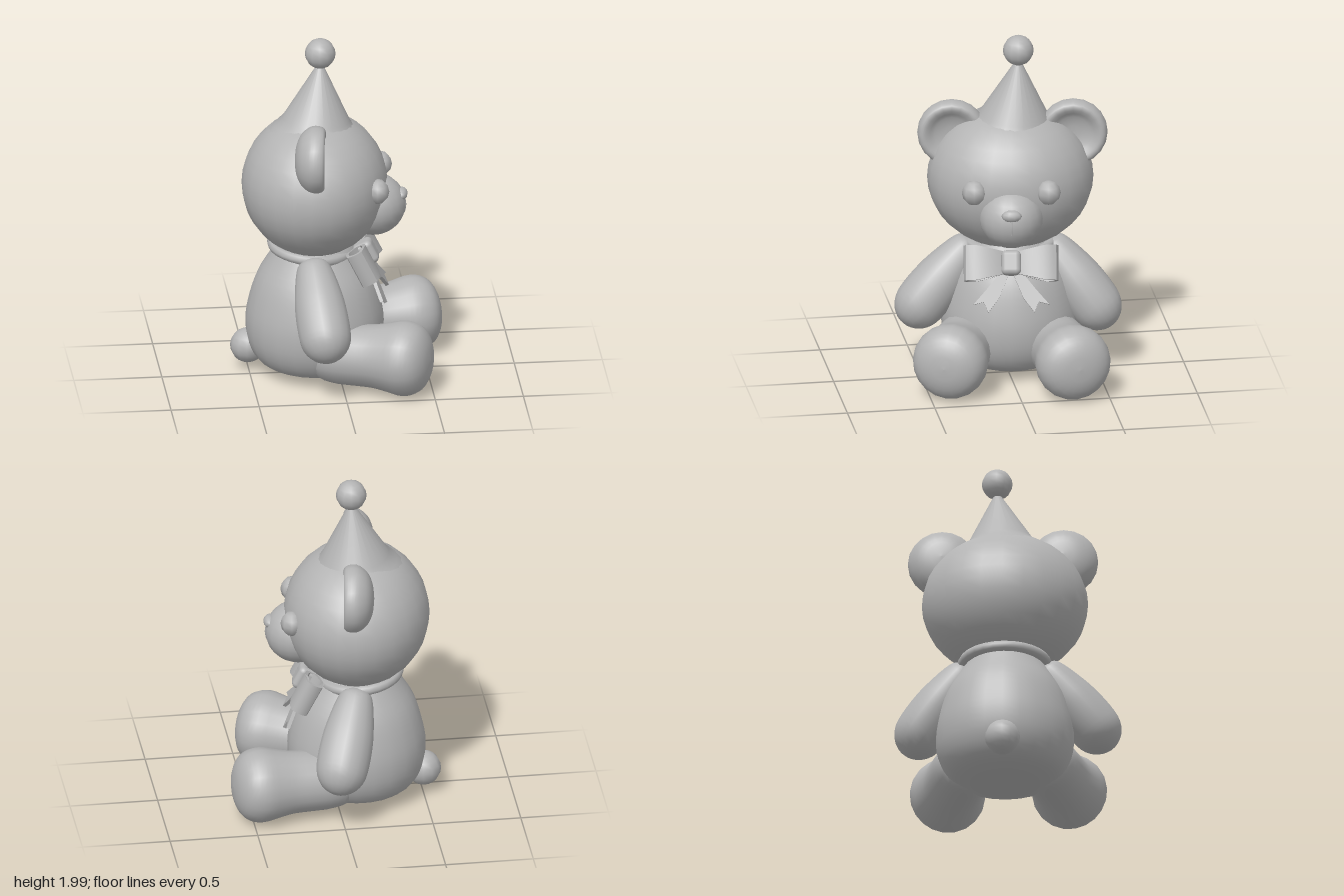
import * as THREE from 'three';
import { toCreasedNormals } from 'three/addons/utils/BufferGeometryUtils.js';
import { RoundedBoxGeometry } from 'three/addons/geometries/RoundedBoxGeometry.js';

const V = (x, y, z) => new THREE.Vector3(x, y, z);

// Lathe through a smooth curve of [radius, height] points
function roundLathe(pts, segments = 20, steps = 26) {
  const curve = new THREE.SplineCurve(pts.map(([r, y]) => new THREE.Vector2(r, y)));
  const profile = curve.getPoints(steps);
  for (const v of profile) v.x = Math.max(0, v.x);
  return new THREE.LatheGeometry(profile, segments);
}

export function createModel() {
  const plush = new THREE.MeshStandardMaterial({ color: 0xb4b4b4 });
  plush.name = 'plush grey';

  // The bear is built facing +z, then the whole figure is turned.
  const bear = new THREE.Group();
  bear.name = 'bear';

  function add(name, geometry, position, parent = bear) {
    const mesh = new THREE.Mesh(geometry, plush);
    mesh.name = name;
    mesh.position.copy(position);
    parent.add(mesh);
    return mesh;
  }

  function ellipsoid(name, center, radii, ws = 20, hs = 14) {
    return add(name, new THREE.SphereGeometry(1, ws, hs).scale(...radii), center);
  }

  // Lathed part standing at a, with its axis pointing to b
  function aimed(name, geometry, a, b) {
    const mesh = add(name, geometry, a);
    mesh.quaternion.setFromUnitVectors(V(0, 1, 0), b.clone().sub(a).normalize());
    return mesh;
  }

  // Torso
  add('body', roundLathe([
    [0, 0.03], [0.17, 0.033], [0.31, 0.085], [0.375, 0.19], [0.391, 0.32],
    [0.372, 0.45], [0.327, 0.59], [0.25, 0.72], [0.19, 0.82],
  ], 24), V(0, 0, 0));
  ellipsoid('tail', V(0, 0.15, -0.378), [0.1, 0.1, 0.1], 12, 10);

  // Head and face
  ellipsoid('head', V(0, 1.145, 0), [0.47, 0.41, 0.413], 24, 18);
  ellipsoid('muzzle', V(0, 1.022, 0.33), [0.182, 0.178, 0.186]);
  ellipsoid('nose', V(0, 1.085, 0.492), [0.058, 0.035, 0.034], 10, 8);
  const mouthLine = new THREE.CatmullRomCurve3([
    V(0, 1.06, 0.507), V(0, 1.02, 0.513), V(0, 0.975, 0.506),
  ]);
  add('mouthLine', new THREE.TubeGeometry(mouthLine, 6, 0.006, 6), V(0, 0, 0));

  // Paired parts
  const ear = roundLathe([
    [0, -0.1], [0.08, -0.092], [0.145, -0.065], [0.185, -0.02], [0.195, 0.02],
    [0.185, 0.06], [0.16, 0.073], [0.13, 0.06], [0.1, 0.04], [0.05, 0.025], [0, 0.022],
  ]).rotateX(Math.PI / 2);
  const arm = roundLathe([
    [0, -0.1], [0.075, -0.07], [0.105, -0.01], [0.13, 0.1], [0.145, 0.2],
    [0.15, 0.32], [0.14, 0.42], [0.1, 0.488], [0.045, 0.523], [0, 0.53],
  ], 18);
  const leg = roundLathe([
    [0, -0.05], [0.13, 0], [0.168, 0.1], [0.175, 0.22], [0.18, 0.33], [0.197, 0.42],
    [0.214, 0.5], [0.204, 0.57], [0.165, 0.625], [0.09, 0.66], [0, 0.67],
  ]);
  for (const [side, s] of [['left', 1], ['right', -1]]) {
    ellipsoid(side + 'Eye', V(s * 0.21, 1.18, 0.365), [0.07, 0.072, 0.065], 8, 6);
    add(side + 'Ear', ear, V(s * 0.343 + 0.012, 1.415, 0));
    aimed(side + 'Arm', arm, V(s * 0.262 - 0.004, 0.69, 0.01), V(s * 0.493 - 0.019, 0.405, 0.08));
    aimed(side + 'Leg', leg, V(s * 0.212, 0.198, 0.038 + s * 0.012), V(s * 0.385, 0.228, 0.678 + s * 0.012));
  }

  // Party hat, flaring into the head and leaning slightly to one side
  const hatTop = V(0.045, 1.85, 0.03);
  const hatBase = V(0.015, 1.4, 0.0);
  const hatProfile = [[0.275, 0.03], [0.235, 0.078], [0.192, 0.125], [0.015, hatTop.distanceTo(hatBase)]];
  const hat = new THREE.LatheGeometry(hatProfile.map(([r, y]) => new THREE.Vector2(r, y)), 24);
  aimed('hat', hat, hatBase, hatTop);
  ellipsoid('hatPompom', V(0.045, 1.913, 0.03), [0.087, 0.087, 0.087], 12, 10);

  // Neck ribbon
  const collar = add('neckRibbon',
    new THREE.TorusGeometry(0.22, 0.03, 8, 28).rotateX(Math.PI / 2), V(0, 0.762, -0.02));
  collar.scale.set(1.08, 1, 1);
  collar.rotation.x = 0.1;

  // Bow, tipped back against the chest
  const bow = new THREE.Group();
  bow.name = 'bow';
  bow.position.set(0, 0.72, 0.28);
  bow.rotation.x = -0.47;
  bear.add(bow);

  const teardrop = (target, x0, x1, h0, h) => {
    target.moveTo(x0, -h0);
    target.bezierCurveTo(x0 + 0.08, -h, x1 - 0.06, -h * 1.1, x1 - 0.015, -h * 0.7);
    target.quadraticCurveTo(x1 + 0.01, 0, x1 - 0.015, h * 0.7);
    target.bezierCurveTo(x1 - 0.06, h * 1.1, x0 + 0.08, h, x0, h0);
    target.closePath();
    return target;
  };
  const loopShape = teardrop(new THREE.Shape(), 0.02, 0.27, 0.02, 0.062);
  loopShape.holes.push(teardrop(new THREE.Path(), 0.05, 0.25, 0.008, 0.044));
  let loop = new THREE.ExtrudeGeometry(loopShape, { depth: 0.2, bevelEnabled: false, curveSegments: 8 });
  loop.translate(0, 0, -0.1).rotateX(-Math.PI / 2);
  // Pinch the loop towards the knot
  const p = loop.attributes.position;
  for (let i = 0; i < p.count; i++) p.setY(i, p.getY(i) * (0.55 + 0.45 * Math.min(1, p.getX(i) / 0.2)));
  loop = toCreasedNormals(loop, 0.7);

  const endShape = new THREE.Shape([
    [0, -0.04], [0.06, -0.05], [0.14, -0.15], [0.215, -0.235],
    [0.155, -0.22], [0.13, -0.28], [0.07, -0.2], [0.015, -0.07],
  ].map(([x, y]) => new THREE.Vector2(x, y)));
  const ribbonEnd = new THREE.ExtrudeGeometry(endShape, { depth: 0.02, bevelEnabled: false });
  ribbonEnd.translate(0, 0, -0.01);

  // A half turn mirrors the loop and the flat ribbon end
  for (const [side, turn] of [['left', 0], ['right', Math.PI]]) {
    add(side + 'BowLoop', loop, V(0, 0, 0), bow).rotation.z = turn;
    add(side + 'RibbonEnd', ribbonEnd, V(0, 0, 0), bow).rotation.y = turn;
  }
  add('bowKnot', new RoundedBoxGeometry(0.112, 0.14, 0.12, 3, 0.03), V(0, 0, 0.01), bow);

  // Final placement
  bear.rotation.y = Math.PI / 2 - 0.14;
  bear.position.set(-0.13, 0, -0.03);
  const model = new THREE.Group();
  model.name = 'seatedBear';
  model.add(bear);
  return model;
}
